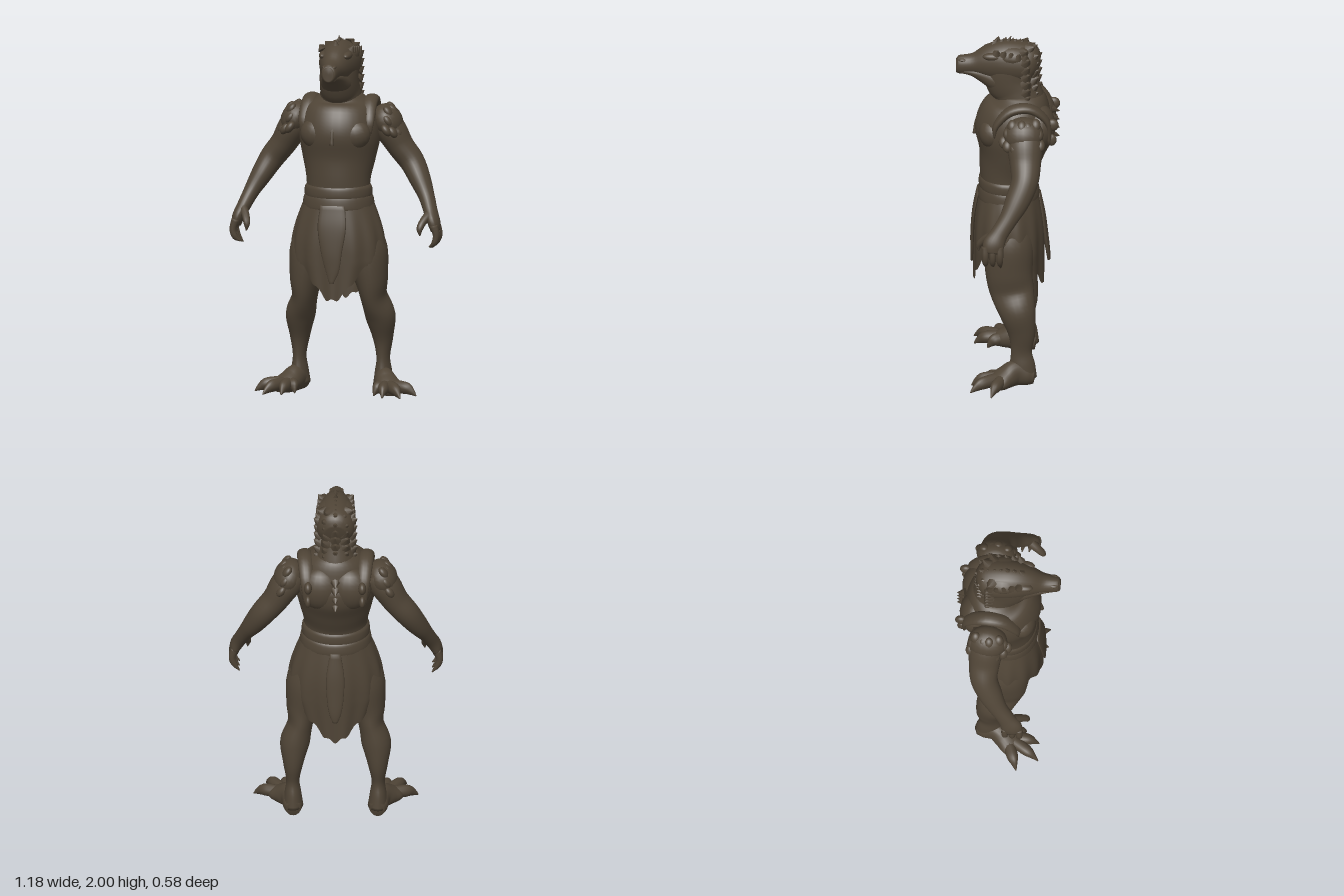
import * as THREE from 'three';

const hide = new THREE.MeshStandardMaterial({ color: 0x4f4436, side: THREE.DoubleSide });
hide.name = 'dark brown hide';

const X = new THREE.Vector3(1, 0, 0);
const Y = new THREE.Vector3(0, 1, 0);
const Z = new THREE.Vector3(0, 0, 1);
const SIDES = [1, -1];

// Grid of points (rows x columns, columns wrap) turned into a smooth surface
function gridGeometry(rows, cols, pointAt) {
  const pos = [], idx = [];
  for (let i = 0; i <= rows; i++) {
    for (let j = 0; j < cols; j++) pos.push(...pointAt(i / rows, (j / cols) * Math.PI * 2).toArray());
  }
  for (let i = 0; i < rows; i++) {
    for (let j = 0; j < cols; j++) {
      const k = (j + 1) % cols;
      const a = i * cols + j, b = i * cols + k, c = a + cols, d = b + cols;
      idx.push(a, b, c, b, d, c);
    }
  }
  const g = new THREE.BufferGeometry();
  g.setAttribute('position', new THREE.Float32BufferAttribute(pos, 3));
  g.setIndex(idx);
  g.computeVertexNormals();
  return g;
}

// Smooth body through sections [x, y, z, a, b]; a is the radius along ref, b across it
function loft(sections, { ref = X, side = 1, cols = 24, steps = 5, floor = false } = {}) {
  const path = new THREE.CatmullRomCurve3(
    sections.map(s => new THREE.Vector3(s[0] * side, s[1], s[2])), false, 'catmullrom', 0.5);
  const radii = new THREE.CatmullRomCurve3(
    sections.map(s => new THREE.Vector3(s[3], s[4], 0)), false, 'catmullrom', 0.5);
  const n = (sections.length - 1) * steps;
  const u = new THREE.Vector3(), v = new THREE.Vector3();
  return gridGeometry(n + 2, cols, (f, ang) => {
    const row = Math.round(f * (n + 2));
    const t = Math.min(Math.max((row - 1) / n, 0), 1);
    const p = path.getPoint(t), r = radii.getPoint(t), tan = path.getTangent(t);
    const closed = row === 0 || row === n + 2 ? 0 : 1;
    u.copy(ref).addScaledVector(tan, -ref.dot(tan)).normalize();
    v.crossVectors(tan, u);
    p.addScaledVector(u, Math.cos(ang) * Math.max(r.x, 0.001) * closed);
    p.addScaledVector(v, Math.sin(ang) * Math.max(r.y, 0.001) * closed);
    if (floor) p.y = Math.max(p.y, 0);
    return p;
  });
}

export function createModel() {
  const model = new THREE.Group();
  model.name = 'reptileWarrior';

  function add(name, geometry) {
    const mesh = new THREE.Mesh(geometry, hide);
    mesh.name = name;
    model.add(mesh);
    return mesh;
  }
  function blob(name, center, size, rotZ = 0) {
    const m = add(name, new THREE.SphereGeometry(1, 20, 14));
    m.position.set(...center);
    m.scale.set(...size);
    m.rotation.z = rotZ;
  }
  function spike(name, at, dir, radius, length) {
    const m = add(name, new THREE.ConeGeometry(radius, length, 7));
    const d = new THREE.Vector3(...dir).normalize();
    m.quaternion.setFromUnitVectors(Y, d);
    m.position.set(...at).addScaledVector(d, length * 0.3);
  }

  // Torso and neck
  add('torso', loft([
    [0, 0.88, 0, 0.18, 0.14], [0, 1.08, 0, 0.178, 0.148], [0, 1.2, 0, 0.178, 0.157],
    [0, 1.32, -0.02, 0.203, 0.184], [0, 1.43, -0.035, 0.224, 0.22], [0, 1.53, -0.05, 0.218, 0.21],
    [0, 1.61, -0.067, 0.182, 0.16], [0, 1.67, -0.067, 0.11, 0.117],
  ], { cols: 36 }));
  add('neck', loft([
    [0, 1.56, -0.075, 0.15, 0.15], [0, 1.63, -0.065, 0.122, 0.135], [0, 1.69, -0.045, 0.11, 0.134],
    [0, 1.74, -0.02, 0.106, 0.148], [0, 1.8, -0.015, 0.104, 0.15], [0, 1.88, -0.03, 0.1, 0.125],
  ]));
  add('chestCord', loft([
    [0, 1.56, 0.14, 0.01, 0.01], [0, 1.49, 0.172, 0.01, 0.01], [0, 1.41, 0.186, 0.012, 0.01],
  ], { cols: 8 }));

  // Head with a long snout
  add('head', loft([
    [0, 1.825, 0.288, 0.028, 0.036], [0, 1.825, 0.268, 0.043, 0.053], [0, 1.832, 0.19, 0.055, 0.06],
    [0, 1.842, 0.11, 0.083, 0.1], [0, 1.85, 0.02, 0.106, 0.122], [0, 1.845, -0.07, 0.112, 0.122],
    [0, 1.83, -0.13, 0.1, 0.11], [0, 1.82, -0.165, 0.06, 0.065],
  ]));
  add('lowerJaw', loft([
    [0, 1.795, 0.262, 0.035, 0.018], [0, 1.792, 0.2, 0.05, 0.029], [0, 1.775, 0.13, 0.068, 0.054],
    [0, 1.75, 0.06, 0.088, 0.076], [0, 1.73, 0, 0.09, 0.075],
  ]));
  blob('crown', [0, 1.895, -0.03], [0.11, 0.07, 0.12]);

  // Crown and nape scales
  for (let i = 0; i < 6; i++) {
    const z = 0.07 - i * 0.036;
    const y = 1.955 + 0.012 * Math.sin((i / 5) * Math.PI) - i * 0.003;
    spike('crownSpike', [0, y, z], [0, 1, -0.4], 0.022, i === 2 ? 0.055 : 0.036);
  }
  for (let row = 0; row < 7; row++) {
    for (let col = -2; col <= 2; col++) {
      const a = col * 0.52, y = 1.93 - row * 0.045 + (col % 2) * 0.012;
      const r = row === 0 ? 0.085 : 0.11;
      spike('napeScale', [Math.sin(a) * r, y, -0.05 - Math.cos(a) * r],
        [Math.sin(a), 0.6, -Math.cos(a)], 0.036, 0.045);
    }
  }

  for (const s of SIDES) {
    blob('browRidge', [s * 0.066, 1.902, 0.08], [0.026, 0.022, 0.06]);
    blob('nostril', [s * 0.026, 1.862, 0.25], [0.014, 0.01, 0.025]);
    for (let i = 0; i < 5; i++) {
      spike('sideCrest', [s * (0.084 + 0.003 * i), 1.932 - i * 0.006, 0.06 - i * 0.04], [s * 0.6, 1, -0.3], 0.024, 0.036);
    }

    // Chest and back muscles, mostly sunk into the torso
    blob('pectoral', [s * 0.098, 1.46, 0.085], [0.1, 0.09, 0.075], s * 0.25);
    blob('shoulderBlade', [s * 0.08, 1.49, -0.175], [0.12, 0.13, 0.09]);

    // Flat strap over the shoulder, ending in knobs behind
    add('shoulderStrap', loft([
      [0.17, 1.47, 0.07, 0.03, 0.01], [0.178, 1.54, 0.058, 0.036, 0.02], [0.172, 1.62, -0.02, 0.042, 0.028],
      [0.167, 1.632, -0.13, 0.042, 0.026], [0.158, 1.55, -0.222, 0.034, 0.018], [0.15, 1.42, -0.232, 0.022, 0.012],
    ], { side: s, cols: 14 }));
    blob('strapKnob', [s * 0.15, 1.53, -0.25], [0.022, 0.035, 0.035]);
    blob('strapKnob', [s * 0.15, 1.44, -0.243], [0.018, 0.035, 0.03]);

    // Shoulder pad of overlapping rounded scales with a ragged rim
    blob('shoulderPad', [s * 0.26, 1.517, -0.093], [0.08, 0.1, 0.11], s * 0.5);
    for (let row = 0; row < 3; row++) {
      for (let i = 0; i < 6; i++) {
        const a = -1.25 + i * 0.46 + row * 0.15;
        const r = 0.035 + row * 0.021;
        blob('padScale', [s * (0.255 + r * Math.cos(a)), 1.57 - row * 0.05 + 0.01 * Math.cos(a * 5), -0.093 + (r + 0.035) * Math.sin(a)],
          [0.022, 0.036, 0.028], s * 0.6);
      }
    }

    // Arm
    add('arm', loft([
      [0.2, 1.55, -0.1, 0.08, 0.08], [0.272, 1.47, -0.1, 0.1, 0.085], [0.33, 1.375, -0.105, 0.087, 0.074],
      [0.395, 1.29, -0.102, 0.076, 0.069], [0.45, 1.195, -0.062, 0.068, 0.058], [0.495, 1.11, -0.015, 0.052, 0.044],
      [0.528, 1.035, 0.035, 0.05, 0.038], [0.552, 0.98, 0.065, 0.06, 0.034], [0.563, 0.935, 0.07, 0.046, 0.026],
    ], { ref: Z, side: s }));
    for (let i = 0; i < 3; i++) {
      const z = 0.03 + i * 0.04;
      add('finger', loft([
        [0.56, 0.97, z, 0.02, 0.022], [0.574, 0.915, z, 0.019, 0.019], [0.562, 0.872, z, 0.016, 0.016],
        [0.532, 0.832 + i * 0.008, z - 0.005, 0.003, 0.003],
      ], { ref: Z, side: s, cols: 10 }));
    }
    add('thumb', loft([
      [0.53, 1.03, 0.06, 0.03, 0.028], [0.503, 0.995, 0.11, 0.024, 0.022], [0.488, 0.955, 0.145, 0.018, 0.018],
      [0.49, 0.915, 0.15, 0.003, 0.003],
    ], { ref: Z, side: s, cols: 10 }));

    // Leg
    add('leg', loft([
      [0.11, 0.95, -0.02, 0.1, 0.12], [0.15, 0.8, -0.01, 0.123, 0.14], [0.183, 0.65, -0.01, 0.092, 0.13],
      [0.195, 0.54, -0.028, 0.07, 0.122], [0.225, 0.43, -0.058, 0.082, 0.102], [0.234, 0.31, -0.082, 0.057, 0.077],
      [0.236, 0.2, -0.08, 0.037, 0.058], [0.236, 0.12, -0.085, 0.046, 0.07], [0.234, 0.04, -0.09, 0.056, 0.076],
    ], { side: s }));

    // Clawed foot, turned outward
    add('foot', loft([
      [0.232, 0.045, -0.15, 0.045, 0.04], [0.236, 0.052, -0.11, 0.058, 0.054], [0.248, 0.07, -0.05, 0.075, 0.056],
      [0.275, 0.055, 0.005, 0.062, 0.07], [0.305, 0.04, 0.05, 0.046, 0.078], [0.325, 0.032, 0.08, 0.03, 0.06],
    ], { ref: Y, side: s, floor: true }));
    for (const [tx, tz] of [[0.455, 0.082], [0.388, 0.198], [0.285, 0.195], [0.222, 0.12]]) {
      const mix = (f, h, a, b) => [0.27 + (tx - 0.27) * f, h, 0.01 + (tz - 0.01) * f, a, b];
      add('toe', loft([
        mix(0.1, 0.05, 0.038, 0.034), mix(0.45, 0.05, 0.036, 0.034), mix(0.68, 0.045, 0.034, 0.03),
        mix(0.84, 0.03, 0.022, 0.017), mix(1, 0.008, 0.003, 0.003),
      ], { ref: Y, side: s, cols: 12, floor: true }));
    }
  }

  // Scales down the spine
  for (let i = 0; i < 4; i++) spike('spineScale', [0, 1.56 - i * 0.05, -0.25], [0, -0.3, -1], 0.026, 0.05);

  // Wrapped cloth belt, two overlapping folds
  add('belt', loft([
    [0, 1.175, 0, 0.176, 0.15], [0, 1.155, 0, 0.187, 0.16], [0, 1.115, 0, 0.188, 0.162], [0, 1.09, 0, 0.178, 0.152],
  ], { cols: 36, steps: 4 }));
  add('lowerBelt', loft([
    [0, 1.125, -0.002, 0.18, 0.152], [0, 1.1, -0.002, 0.194, 0.166], [0, 1.05, -0.004, 0.2, 0.172], [0, 1.03, -0.004, 0.19, 0.16],
  ], { cols: 36, steps: 4 }));

  // Ragged hide skirt: pointed in front, broad and rounded behind, short at the hips
  const lerp = THREE.MathUtils.lerp;
  add('skirt', gridGeometry(24, 120, (f, a) => {
    const sn = Math.sin(a), cs = Math.cos(a);
    const long = sn > 0 ? 0.26 * sn ** 3.5 : 0.29 * sn ** 2;
    const hem = 0.8 - long + 0.012 * Math.sin(a * 17);
    const y = lerp(1.1, hem, f);
    const k = Math.min((1.1 - y) / 0.3, 1);
    const fold = 1 + 0.022 * k * Math.sin(a * 13);
    const flare = Math.sin(k * Math.PI / 2);
    const tuck = 1 - 1.3 * Math.max(0.75 - y, 0);
    return new THREE.Vector3(cs * lerp(0.185, 0.262, flare) * fold * tuck, y, sn * lerp(0.16, 0.195, flare) * fold - 0.005);
  }));
  add('frontFlap', loft([
    [0, 1.07, 0.165, 0.07, 0.01], [0, 0.95, 0.187, 0.08, 0.011], [0, 0.82, 0.196, 0.06, 0.012],
    [0.005, 0.72, 0.198, 0.04, 0.01], [0, 0.64, 0.2, 0.012, 0.006],
  ], { cols: 16 }));
  add('backFlap', loft([
    [0, 1.06, -0.17, 0.03, 0.012], [0, 0.92, -0.195, 0.05, 0.014], [0, 0.78, -0.212, 0.045, 0.014],
    [0, 0.7, -0.222, 0.032, 0.012], [0, 0.65, -0.226, 0.014, 0.008],
  ], { cols: 16 }));

  return model;
}
